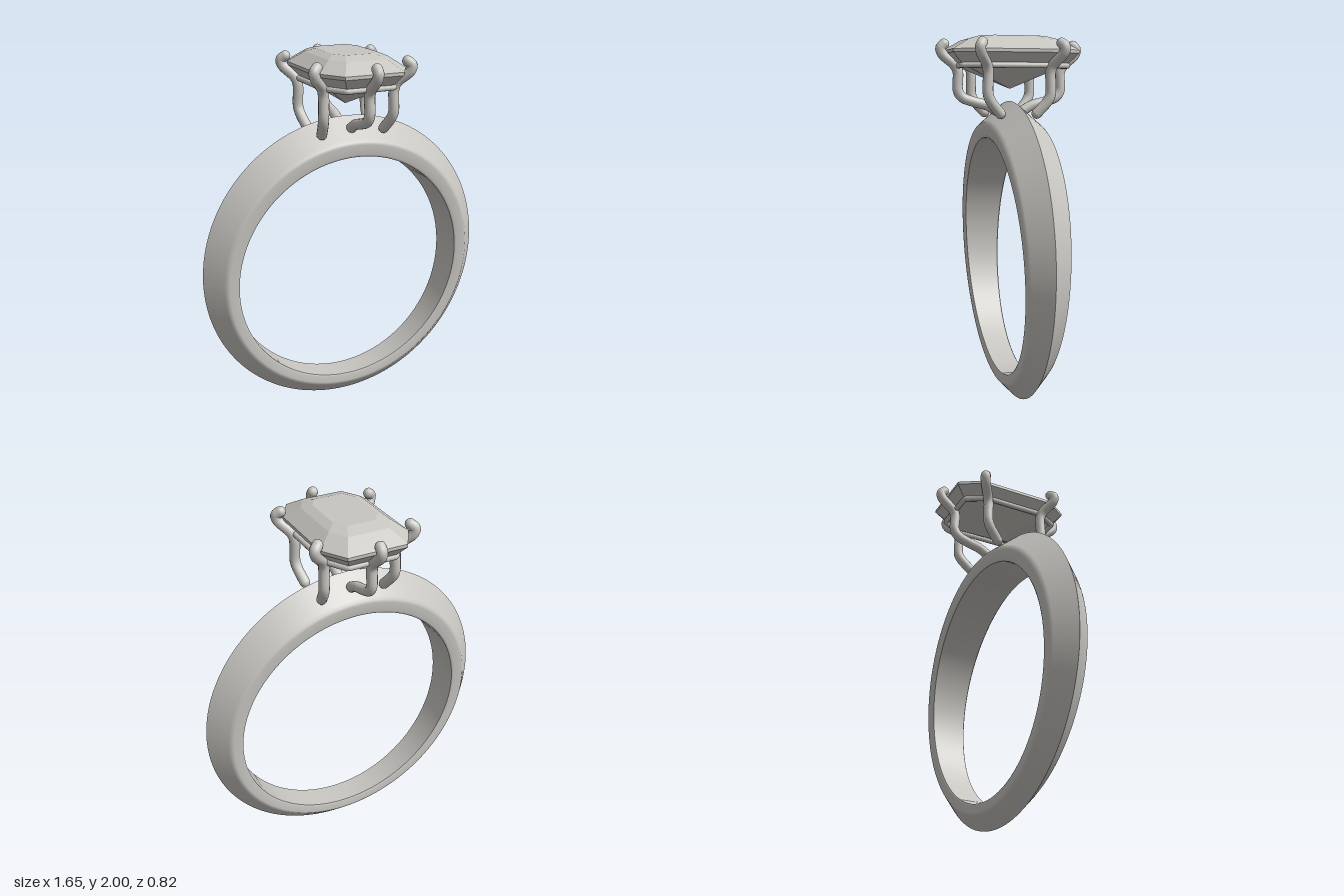
import * as THREE from 'three';

const metal = new THREE.MeshStandardMaterial({ color: 0xc8c6c1 });
metal.name = 'pale grey';

const mesh = (name, geometry) => {
  const m = new THREE.Mesh(geometry, metal);
  m.name = name;
  return m;
};

// One face of the band, swept round the finger. Each profile pair is
// [fraction from inner to outer circle, fraction of the half width].
function bandStrip(profile, segments = 128) {
  const pos = [], index = [], n = profile.length;
  for (let i = 0; i < segments; i++) {
    const a = (i / segments) * Math.PI * 2;
    const halfWidth = 0.109 + 0.032 * Math.sin(a); // wider towards the stone
    for (const [t, w] of profile) {
      const r = THREE.MathUtils.lerp(0.66, 0.827, t);
      const cy = THREE.MathUtils.lerp(0.796, 0.827, t);
      pos.push(r * Math.cos(a), cy + r * Math.sin(a), w * halfWidth);
    }
    for (let j = 0; j < n - 1; j++) {
      const p = i * n + j, q = ((i + 1) % segments) * n + j;
      index.push(p, p + 1, q, p + 1, q + 1, q);
    }
  }
  const g = new THREE.BufferGeometry();
  g.setAttribute('position', new THREE.Float32BufferAttribute(pos, 3));
  g.setIndex(index);
  g.computeVertexNormals();
  return g;
}

// Rectangle with cut corners, as [x, z] pairs
function octagon(hx, hz, cutX = 0.33, cutZ = 0.37) {
  const x = hx * (1 - cutX), z = hz * (1 - cutZ);
  return [[hx, -z], [hx, z], [x, hz], [-x, hz], [-hx, z], [-hx, -z], [-x, -hz], [x, -hz]];
}

// Faceted stone: octagonal levels [y, half x, half z] from the point to the table
function stoneGeometry(levels) {
  const pos = [];
  const rings = levels.map(([y, hx, hz]) => octagon(hx, hz).map(([x, z]) => [x, y, z]));
  for (let k = 0; k < rings.length - 1; k++) {
    for (let i = 0; i < 8; i++) {
      const j = (i + 1) % 8, lo = rings[k], hi = rings[k + 1];
      if (levels[k][1] > 0) pos.push(...lo[i], ...hi[i], ...lo[j]);
      if (levels[k + 1][1] > 0) pos.push(...lo[j], ...hi[i], ...hi[j]);
    }
  }
  const g = new THREE.BufferGeometry();
  g.setAttribute('position', new THREE.Float32BufferAttribute(pos, 3));
  g.computeVertexNormals();
  return g;
}

// Round wire with domed ends
function prong(name, points, radius = 0.028) {
  const group = new THREE.Group();
  group.name = name;
  const pts = points.map((p) => new THREE.Vector3(...p));
  const curve = new THREE.CatmullRomCurve3(pts);
  group.add(mesh('prongWire', new THREE.TubeGeometry(curve, 64, radius, 14)));
  for (const p of [pts[0], pts[pts.length - 1]]) {
    const dome = mesh('prongEnd', new THREE.SphereGeometry(radius, 14, 10));
    dome.position.copy(p);
    group.add(dome);
  }
  return group;
}

export function createModel() {
  const model = new THREE.Group();
  model.name = 'ring';

  // Knife-edge band
  const side = [[0, 0.92], [0.06, 0.98], [0.33, 1], [0.41, 0.985], [0.48, 0.88], [1, 0]];
  const band = new THREE.Group();
  band.name = 'band';
  band.add(
    mesh('bandFront', bandStrip(side)),
    mesh('bandBack', bandStrip(side.map(([t, w]) => [t, -w]).reverse())),
    mesh('bandInside', bandStrip([[0, -0.92], [0, 0.92]])),
  );
  model.add(band);

  // Step-cut stone
  model.add(mesh('stone', stoneGeometry([
    [1.72, 0, 0], [1.85, 0.19, 0.29], [1.908, 0.24, 0.345], [1.925, 0.24, 0.345],
    [1.98, 0.165, 0.25], [2, 0.12, 0.178], [2, 0, 0],
  ])));

  // Prongs at the two ends and four corners
  for (const s of [1, -1]) {
    prongsAtEnd(model, s);
    for (const x of [1, -1]) {
      model.add(prong('cornerProng', [
        [0.252, 1.955, 0.212], [0.272, 1.935, 0.226], [0.265, 1.905, 0.222],
        [0.212, 1.845, 0.18], [0.2, 1.81, 0.17], [0.2, 1.69, 0.17],
        [0.196, 1.655, 0.155], [0.18, 1.59, 0.1],
      ].map(([px, py, pz]) => [px * x, py, pz * s])));
    }
  }

  // Thin rail joining the prongs under the stone
  const rail = new THREE.CurvePath();
  const corners = octagon(0.2, 0.29, 0.33, 0.4).map(([x, z]) => new THREE.Vector3(x, 1.842, z));
  corners.forEach((p, i) => rail.add(new THREE.LineCurve3(p, corners[(i + 1) % 8])));
  model.add(mesh('galleryRail', new THREE.TubeGeometry(rail, 160, 0.015, 10, true)));
  return model;
}

// End prong, bent in under the stone to reach the band
function prongsAtEnd(model, s) {
  model.add(prong('endProng', [
    [0, 1.955, 0.362], [0, 1.935, 0.38], [0, 1.905, 0.372], [0, 1.845, 0.305],
    [0, 1.81, 0.288], [0, 1.71, 0.288], [0, 1.675, 0.265], [0, 1.65, 0.2],
    [0, 1.632, 0.13], [0, 1.605, 0.08],
  ].map(([x, y, z]) => [x, y, z * s])));
}
